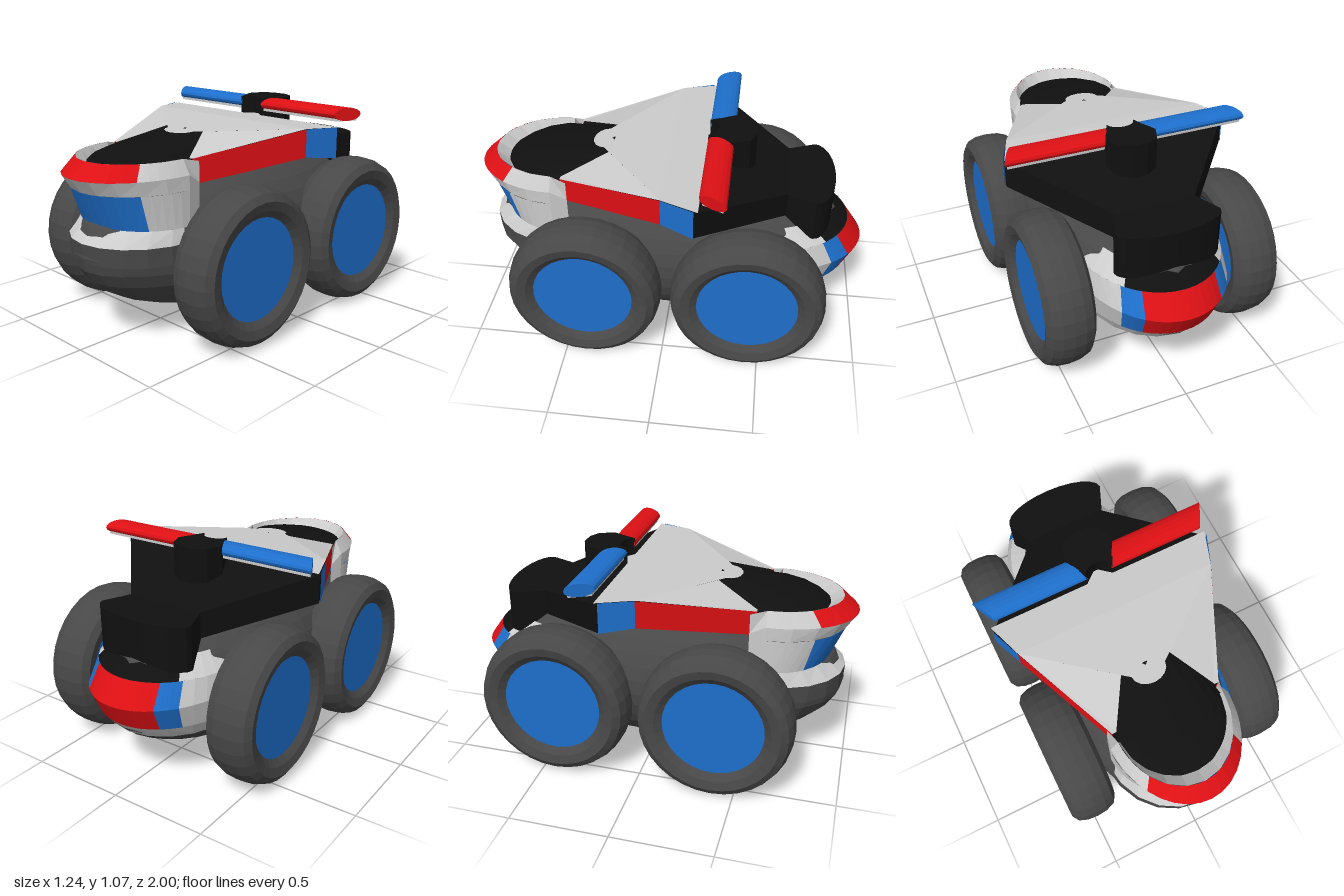
import * as THREE from 'three';

const LIGHT = 0xcccccc, DARK = 0x484848, BLACK = 0x101010, RED = 0xdd1014, BLUE = 0x1e6fcc;

function mesh(name, geometry, color, smooth = false) {
  const mat = new THREE.MeshStandardMaterial({ color, flatShading: !smooth, side: THREE.DoubleSide });
  const m = new THREE.Mesh(geometry, mat);
  m.name = name;
  return m;
}

// Surface through rows of points
function grid(rows) {
  const n = rows[0].length, index = [];
  for (let r = 0; r < rows.length - 1; r++)
    for (let i = 0; i < n - 1; i++) {
      const a = r * n + i, b = a + n;
      index.push(a, a + 1, b, a + 1, b + 1, b);
    }
  const g = new THREE.BufferGeometry();
  g.setAttribute('position', new THREE.Float32BufferAttribute(rows.flat(2), 3));
  g.setIndex(index);
  g.computeVertexNormals();
  return g;
}

// Half-ellipse bumper strip: level = [y, halfWidth, tipZ], t runs round the arc
function band(levels, zc, t0, t1, steps) {
  return grid(levels.map(([y, w, tip]) => Array.from({ length: steps + 1 }, (_, i) => {
    const t = t0 + (t1 - t0) * i / steps;
    return [w * Math.cos(t), y, zc + (tip - zc) * Math.sin(t)];
  })));
}

// Centre strip plus mirrored side strips; t = 0 is the side, PI/2 the tip
function addBands(group, name, levels, zc, cuts) {
  cuts.forEach(([t0, t1, color]) => {
    group.add(mesh(name, band(levels, zc, t0, t1, 5), color));
    group.add(mesh(name, band(levels, zc, Math.PI - t1, Math.PI - t0, 5), color));
  });
}

// Flat outline in x, z lifted to y = rule(z)
function plate(points, rule) {
  const g = new THREE.ShapeGeometry(new THREE.Shape(points.map(([x, z]) => new THREE.Vector2(x, -z))));
  g.rotateX(-Math.PI / 2);
  const p = g.attributes.position;
  for (let i = 0; i < p.count; i++) p.setY(i, rule(p.getZ(i)));
  g.computeVertexNormals();
  return g;
}

// Outline in x, z extruded from y0 up to y1
function slab(points, y0, y1) {
  const shape = new THREE.Shape(points.map(([x, z]) => new THREE.Vector2(x, -z)));
  const g = new THREE.ExtrudeGeometry(shape, { depth: y1 - y0, bevelEnabled: false });
  return g.rotateX(-Math.PI / 2).translate(0, y0, 0);
}

function arc(rx, rz, zc, from, to, steps) {
  return Array.from({ length: steps + 1 }, (_, i) => {
    const t = from + (to - from) * i / steps;
    return [rx * Math.cos(t), zc + rz * Math.sin(t)];
  });
}

function makeWheel() {
  const wheel = new THREE.Group();
  wheel.name = 'wheel';
  const half = [[0.25, 0.085], [0.285, 0.112], [0.33, 0.123], [0.365, 0.1], [0.382, 0.055], [0.387, 0]];
  const profile = [...half.map(([r, x]) => [r, -x]), ...half.slice(0, -1).reverse()];
  const tyre = new THREE.LatheGeometry(profile.map(p => new THREE.Vector2(...p)), 32);
  wheel.add(mesh('tyre', tyre.rotateZ(Math.PI / 2), DARK));
  wheel.add(mesh('hubDisc', new THREE.CylinderGeometry(0.25, 0.25, 0.17, 32).rotateZ(Math.PI / 2), BLUE));
  return wheel;
}

export function createModel() {
  const model = new THREE.Group();
  model.name = 'vehicle';

  // Rounded lower hull
  const hull = new THREE.SphereGeometry(1, 32, 18).scale(0.46, 0.4, 0.96).translate(0, 0.45, 0);
  model.add(mesh('hull', hull, DARK));

  // Wheels
  for (const s of [-1, 1])
    for (const z of [0.39, -0.43]) {
      const w = makeWheel();
      w.position.set(s * (z > 0 ? 0.492 : 0.485), 0.39, z);
      model.add(w);
    }

  // Front bumper, stacked from the hull up to the inner rim
  const front = new THREE.Group();
  front.name = 'frontBumper';
  model.add(front);
  const q = Math.PI / 2, F = [[0.43, 0.345, 0.955], [0.52, 0.34, 0.96], [0.59, 0.32, 0.88], [0.76, 0.32, 0.95],
    [0.83, 0.32, 1.0], [0.9, 0.28, 0.92], [0.85, 0.26, 0.85]];
  const zf = 0.58;
  addBands(front, 'lowerBand', [F[0], F[1]], zf, [[0, q, DARK]]);
  addBands(front, 'ledge', [F[1], F[2]], zf, [[0, q, LIGHT]]);
  addBands(front, 'grille', [F[2], F[3]], zf, [[0, 0.675, LIGHT], [0.675, q, BLUE]]);
  addBands(front, 'overhang', [F[3], F[4]], zf, [[0, q, LIGHT]]);
  addBands(front, 'noseBand', [F[4], F[5]], zf, [[0, 0.65, LIGHT], [0.65, q, RED]]);
  addBands(front, 'innerRim', [F[5], F[6]], zf, [[0, q, LIGHT]]);
  // Cheeks joining the bumper to the body
  for (const s of [-1, 1])
    front.add(mesh('cheek', grid([F.slice(1, 6).map(([y, w]) => [s * w, y, zf]),
      [0.52, 0.59, 0.72, 0.78, 0.88].map(y => [s * 0.3, y, 0.5])]), LIGHT));

  // Domed canopy
  const canopyRows = [[0.87, 0.02, 0], [0.84, 0.11, 0.02], [0.78, 0.19, 0.045], [0.7, 0.255, 0.065], [0.6, 0.285, 0.085],
    [0.45, 0.26, 0.105], [0.3, 0.24, 0.125]].map(([z, w, h]) =>
    arc(w, h, 0.845, 0, Math.PI, 12).map(([x, y]) => [x, y, z]));
  model.add(mesh('canopy', grid(canopyRows), BLACK));

  // Winged upper body: rings of [z, halfWidth, bottom, top]
  const W = [[0.53, 0.28, 0.77, 0.88], [0, 0.52, 0.85, 0.975], [-0.16, 0.583, 0.83, 0.972], [-0.6, 0.2, 0.71, 0.84]];
  const rings = W.map(([z, w, b, t]) => [[w, b, z], [w, t, z], [-w, t, z], [-w, b, z], [w, b, z]]);
  const cap = r => r.map(() => [0, r[0][1], r[0][2]]);
  model.add(mesh('upperBody', grid([cap(rings[0]), ...rings, cap(rings[3])]), BLACK));

  // Coloured side panels
  for (const s of [-1, 1])
    [['sidePanel', 0, 1, RED], ['sideTip', 1, 2, BLUE]].forEach(([name, a, b, color]) => {
      const edge = ([z, w, lo, hi]) => [[s * (w + 0.006), lo, z], [s * (w + 0.006), hi + 0.013, z]];
      model.add(mesh(name, grid([edge(W[a]), edge(W[b])]), color));
    });

  // Top plate with a rounded front notch and sloping shoulders
  const notch = arc(0.09, 0.07, 0.34, Math.PI, 0, 8);
  const deckY = z => 0.99 - 0.07 * Math.max(z, 0);
  model.add(mesh('topPlate', plate([[-0.525, 0], [-0.13, 0.31], ...notch, [0.13, 0.31], [0.525, 0]], deckY), LIGHT));
  model.add(mesh('topPlateRear', plate([[0.525, 0], [0.588, -0.18], [0.07, -0.18], [0, -0.24], [-0.07, -0.18],
    [-0.588, -0.18], [-0.525, 0]], z => 0.99 + 0.04 * z), LIGHT));
  for (const s of [-1, 1])
    model.add(mesh('plateShoulder', grid([[[s * 0.13, 0.968, 0.31], [s * 0.525, 0.99, 0]],
      [[s * 0.265, 0.893, 0.53], [s * 0.287, 0.893, 0.53]]]), LIGHT));

  // Rear bumper and deck
  const rear = new THREE.Group();
  rear.name = 'rearBumper';
  model.add(rear);
  const R = [[0.29, 0.32, -0.88], [0.36, 0.35, -0.94], [0.48, 0.37, -1.0], [0.59, 0.35, -0.92], [0.67, 0.27, -0.79]];
  const zr = -0.5;
  addBands(rear, 'underBand', [R[0], R[1]], zr, [[0, q, LIGHT]]);
  addBands(rear, 'bumperBand', R.slice(1, 4), zr, [[0, 0.75, LIGHT], [0.75, 1.02, BLUE], [1.02, q, RED]]);
  addBands(rear, 'rearDeck', [R[3], R[4]], zr, [[0, 0.8, LIGHT], [0.8, q, BLACK]]);

  // Rounded rear pod
  const pod = [[0.2, -0.57], ...arc(0.265, -0.1, -0.73, 0, Math.PI, 12), [-0.2, -0.57]];
  model.add(mesh('rearPod', slab(pod, 0.62, 0.84), BLACK));

  // Control hub with a concave front
  const hub = [...arc(0.07, -0.05, -0.18, Math.PI, 0, 8), [0.13, -0.31], [0.1, -0.39], [0.04, -0.42],
    [-0.04, -0.42], [-0.1, -0.39], [-0.13, -0.31]];
  model.add(mesh('hub', slab(hub, 0.89, 1.07), BLACK));

  // Swept handles with a pale underside
  for (const s of [-1, 1]) {
    const shear = g => g.applyMatrix4(new THREE.Matrix4().set(
      1, 0, -0.5 * s, 0.3425 * s, 0, 1, 0, 0, 0, 0, 1, -0.245, 0, 0, 0, 1));
    const grip = new THREE.CylinderGeometry(1, 1, 0.49, 16).rotateZ(q).scale(1, 0.033, 0.065).translate(0, 1.039, 0);
    model.add(mesh('handle', shear(grip), s > 0 ? RED : BLUE, false));
    model.add(mesh('handleUnderside', shear(new THREE.BoxGeometry(0.48, 0.02, 0.1).translate(0, 1.015, 0)), LIGHT));
  }
  return model;
}
